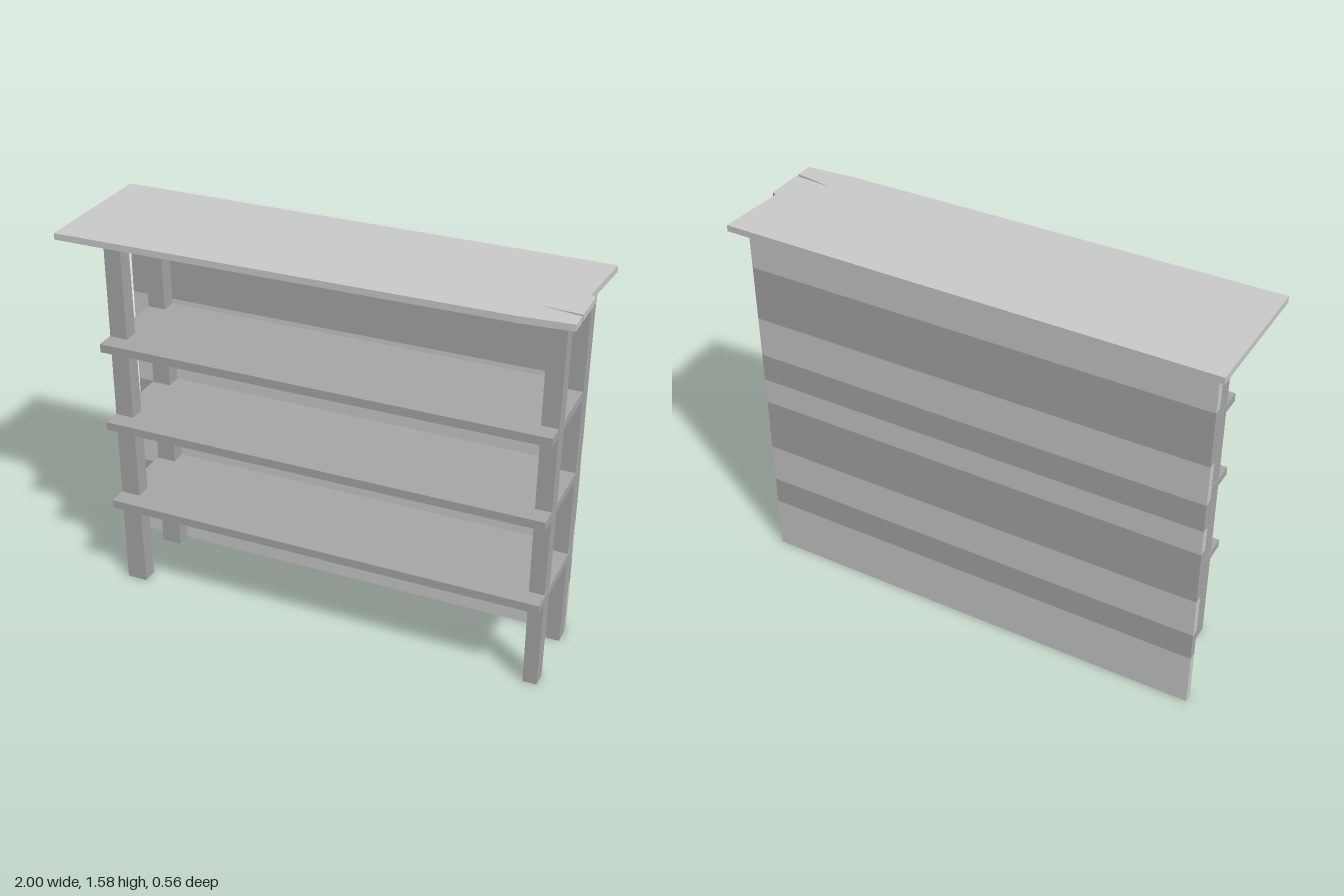
import * as THREE from 'three';

export function createModel() {
  const model = new THREE.Group();
  const lightWood = new THREE.MeshStandardMaterial({ color: 0xcacaca });
  lightWood.name = 'lightGrey';
  const darkWood = new THREE.MeshStandardMaterial({ color: 0xa7a7a7 });
  darkWood.name = 'darkGrey';

  const add = (name, geometry, material) => {
    const mesh = new THREE.Mesh(geometry, material);
    mesh.name = name;
    model.add(mesh);
  };
  // Box given by its limits on each axis
  const block = (x0, x1, y0, y1, z0, z1) =>
    new THREE.BoxGeometry(x1 - x0, y1 - y0, z1 - z0)
      .translate((x0 + x1) / 2, (y0 + y1) / 2, (z0 + z1) / 2);

  // Back wall of stacked planks, light and dark
  const edges = [0, 0.12, 0.23, 0.35, 0.52, 0.64, 0.75, 0.86, 0.98, 1.15, 1.265, 1.38, 1.55];
  const dark = [0, 0, 1, 0, 1, 1, 0, 1, 0, 1, 1, 0];
  dark.forEach((isDark, i) => add('backPlank',
    block(-0.96, 0.945, edges[i], edges[i + 1], -0.225, -0.19), isDark ? darkWood : lightWood));

  // Four posts, slightly uneven from bottom to top
  const post = (name, bottom, top, z0, z1) => {
    const g = block(0, 1, 0, 1.55, z0, z1);
    const p = g.attributes.position;
    for (let i = 0; i < p.count; i++) {
      const ends = p.getY(i) > 0.7 ? top : bottom;
      p.setX(i, ends[p.getX(i) > 0.5 ? 1 : 0]);
    }
    g.computeVertexNormals();
    add(name, g, darkWood);
  };
  for (const [name, z0, z1] of [['front', 0.11, 0.175], ['back', -0.19, -0.125]]) {
    post(name + 'RightPost', [-0.855, -0.77], [-0.855, -0.785], z0, z1);
    post(name + 'LeftPost', [0.89, 0.947], [0.885, 0.955], z0, z1);
  }

  // Shelves
  for (const y of [0.385, 0.75, 1.095]) {
    add('shelf', block(-0.857, 0.952, y, y + 0.035, -0.19, 0.25), darkWood);
  }

  // Worn top board with a chipped end and a split
  const outline = [
    [-1, -0.285], [0.3, -0.283], [1, -0.28], [0.98, 0], [1, 0.01], [1, 0.165],
    [0.84, 0.155], [1, 0.18], [1, 0.25], [0.8, 0.265], [0.3, 0.27], [-1, 0.28],
  ].map(([x, z]) => new THREE.Vector2(x, z));
  const board = new THREE.ExtrudeGeometry(new THREE.Shape(outline), { depth: 0.026, bevelEnabled: false });
  board.rotateX(Math.PI / 2).translate(0, 1.576, 0);
  add('topBoard', board, lightWood);

  return model;
}
